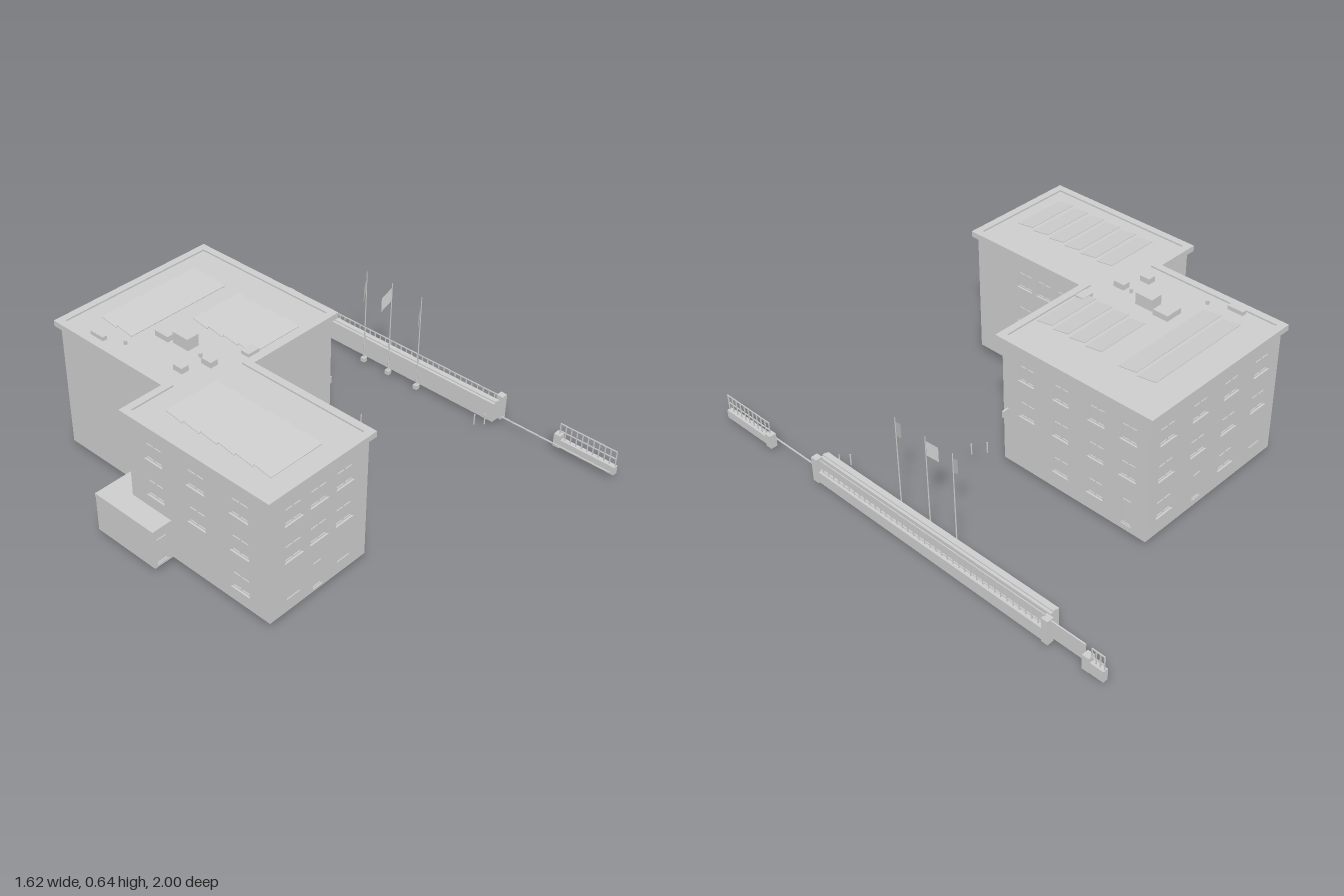
import * as THREE from 'three';

const stone = new THREE.MeshStandardMaterial({ color: 0xcccccc, side: THREE.DoubleSide });
stone.name = 'light grey';

function add(parent, name, geometry, x = 0, y = 0, z = 0) {
  const mesh = new THREE.Mesh(geometry, stone);
  mesh.name = name;
  mesh.position.set(x, y, z);
  parent.add(mesh);
  return mesh;
}

// Box given by its minimum and maximum on each axis
function block(parent, name, x0, x1, y0, y1, z0, z1) {
  return add(parent, name, new THREE.BoxGeometry(x1 - x0, y1 - y0, z1 - z0),
    (x0 + x1) / 2, (y0 + y1) / 2, (z0 + z1) / 2);
}

function group(parent, name) {
  const g = new THREE.Group();
  g.name = name;
  parent.add(g);
  return g;
}

// Footprint of the building, grown outwards by d
const outline = (d) => [
  [-0.725 - d, 0.6 + d], [-0.235 + d, 0.6 + d], [-0.235 + d, 0.015 + d], [0.22 + d, 0.015 + d],
  [0.22 + d, -0.69 - d], [-0.525 - d, -0.69 - d], [-0.525 - d, -0.09 - d], [-0.725 - d, -0.09 - d],
].map(([x, z]) => new THREE.Vector2(x, z));

// Flat slab from a plan shape, its top at the given height
function slab(parent, name, shape, top, thickness) {
  const g = new THREE.ExtrudeGeometry(shape, { depth: thickness, bevelEnabled: false });
  g.rotateX(Math.PI / 2);
  return add(parent, name, g, 0, top, 0);
}

// Recessed pane with mullions and an optional sill, in wall coordinates
function fillOpening(wall, { x, y, w, h, columns = 2, transom = 0.7, sill = true, name = 'window' }) {
  const g = group(wall, name);
  const bar = 0.005;
  block(g, 'pane', x, x + w, y, y + h, -0.011, -0.008);
  for (let i = 0; i <= columns; i++) {
    const cx = x + bar / 2 + (w - bar) * i / columns;
    block(g, 'mullion', cx - bar / 2, cx + bar / 2, y, y + h, -0.008, -0.004);
  }
  for (const f of [0, transom, 1]) {
    const cy = y + bar / 2 + (h - bar) * f;
    block(g, 'rail', x, x + w, cy - bar / 2, cy + bar / 2, -0.008, -0.004);
  }
  if (sill) block(g, 'sill', x - 0.003, x + w + 0.003, y - 0.005, y, -0.004, 0.004);
}

// Wall running from a to b with its outside on the right-hand side of the path
function makeWall(parent, name, a, b, y0, y1, openings) {
  const wall = group(parent, name);
  wall.position.set(a.x, 0, a.y);
  wall.rotation.y = Math.atan2(-(b.y - a.y), b.x - a.x);
  const length = a.distanceTo(b);
  const shape = new THREE.Shape([[0, y0], [length, y0], [length, y1], [0, y1]].map((p) => new THREE.Vector2(...p)));
  for (const { x, y, w, h } of openings) {
    shape.holes.push(new THREE.Path([[x, y], [x, y + h], [x + w, y + h], [x + w, y]].map((p) => new THREE.Vector2(...p))));
  }
  const g = new THREE.ExtrudeGeometry(shape, { depth: 0.012, bevelEnabled: false });
  add(wall, 'masonry', g, 0, 0, -0.012);
  openings.forEach((o) => fillOpening(wall, o));
}

// Grid of equal windows centred on the given distances along a wall
const windows = (centres, sills, w = 0.085) =>
  sills.flatMap((y) => centres.map((c) => ({ x: c - w / 2, y, w, h: 0.09 })));
const door = (x, w = 0.05) => ({ x, y: 0.055, w, h: 0.145, columns: 1, transom: 0.78, sill: false, name: 'door' });

function buildBuilding(model) {
  const b = group(model, 'building');
  const p = outline(0);
  const upper = [0.44, 0.275], all = [0.44, 0.275, 0.105];
  const grille = (x) => ({ x, y: 0.1, w: 0.065, h: 0.008, columns: 1, sill: false, name: 'vent' });
  const openings = [
    [...windows([0.118, 0.243, 0.372], upper), door(0.215), grille(0.085), grille(0.34)],
    [...windows([0.26, 0.365, 0.47], upper, 0.075), ...windows([0.26, 0.47], [0.105], 0.075), door(0.345)],
    [{ x: 0.04, y: 0.06, w: 0.37, h: 0.14, columns: 4, transom: 0.75, sill: false, name: 'shopfront' }],
    [...windows([0.12, 0.29, 0.46, 0.61], upper, 0.075), ...windows([0.29, 0.46], [0.105], 0.075), door(0.585)],
    [...windows([0.1, 0.28, 0.46, 0.64], upper), ...windows([0.1, 0.46], [0.105]), door(0.265), grille(0.61)],
    [],
    [],
    [...windows([0.13, 0.34, 0.55], upper), ...windows([0.55], [0.105])],
  ];
  const names = ['wingFrontWall', 'wingInnerWall', 'entranceWall', 'sideWall', 'backWall', 'blankWall', 'stepWall', 'wingOuterWall'];
  names.forEach((name, i) => {
    const base = i > 1 && i < 6 ? 0.03 : 0.045;
    makeWall(b, name, p[i], p[(i + 1) % p.length], base, 0.59, openings[i]);
  });

  // Roof deck inside a projecting cornice, and the entrance hall ceiling
  slab(b, 'roofDeck', new THREE.Shape(outline(-0.005)), 0.598, 0.014);
  const rim = new THREE.Shape(outline(0.018));
  rim.holes.push(new THREE.Path(outline(-0.013).reverse()));
  slab(b, 'cornice', rim, 0.605, 0.025);
  block(b, 'hallCeiling', -0.22, 0.2, 0.2, 0.21, -0.4, 0.005);
  block(b, 'entranceStep', -0.195, 0.175, 0.05, 0.058, 0.015, 0.03);
  block(b, 'wallSign', 0.22, 0.25, 0.25, 0.28, -0.012, -0.004);

  // Open-backed side porch
  const porch = group(b, 'porch');
  const roof = [[-0.815, -0.195], [-0.525, -0.195], [-0.525, -0.09], [-0.725, -0.09], [-0.725, 0.115], [-0.815, 0.115]];
  slab(porch, 'porchRoof', new THREE.Shape(roof.map((q) => new THREE.Vector2(...q))), 0.22, 0.015);
  block(porch, 'porchSideWall', -0.813, -0.805, 0.045, 0.206, -0.195, 0.11);
  makeWall(porch, 'porchFront', new THREE.Vector2(-0.813, 0.113), new THREE.Vector2(-0.725, 0.113), 0.045, 0.206,
    [{ ...door(0.014, 0.055), h: 0.14 }]);
}

function buildRoofEquipment(model) {
  const g = group(model, 'roofEquipment');
  // Tilted panels, raised at the back edge
  const panelRow = (x0, x1, z0, z1, count) => {
    const pitch = (z1 - z0) / count;
    for (let i = 0; i < count; i++) {
      const panel = add(g, 'solarPanel', new THREE.BoxGeometry(x1 - x0, 0.003, pitch - 0.004),
        (x0 + x1) / 2, 0.608, z0 + pitch * (i + 0.5));
      panel.rotation.x = Math.asin(0.013 / pitch);
    }
  };
  panelRow(-0.41, 0.075, -0.59, -0.415, 2);
  panelRow(-0.18, 0.065, -0.33, -0.01, 4);
  panelRow(-0.64, -0.395, 0.02, 0.53, 6);
  for (const [x, z, w, d, top] of [
    [-0.3, -0.33, 0.08, 0.07, 0.622], [-0.3, -0.24, 0.055, 0.08, 0.648], [-0.425, -0.132, 0.035, 0.045, 0.622],
    [-0.328, -0.085, 0.035, 0.05, 0.622], [-0.175, -0.03, 0.055, 0.04, 0.612], [-0.49, -0.51, 0.02, 0.07, 0.615],
    [-0.455, -0.4, 0.01, 0.01, 0.615], [-0.32, -0.14, 0.01, 0.01, 0.615]]) {
    block(g, 'ventUnit', x - w / 2, x + w / 2, 0.597, top, z - d / 2, z + d / 2);
  }
}

// Railing along z with evenly spaced uprights
function railing(parent, x, z0, z1, y0, y1, count, rails) {
  const g = group(parent, 'railing');
  for (let i = 0; i <= count; i++) {
    const z = z0 + (z1 - z0) * i / count;
    block(g, 'upright', x - 0.002, x + 0.002, y0, y1, z - 0.002, z + 0.002);
  }
  rails.forEach((y) => block(g, 'rail', x - 0.002, x + 0.002, y - 0.002, y + 0.002, z0, z1));
}

function buildBoundary(model) {
  const g = group(model, 'boundary');
  // Long wall whose base follows the sloping ground
  const side = new THREE.Shape([[-0.45, 0.02], [0.74, 0.005], [0.74, 0.06], [-0.45, 0.07]].map((q) => new THREE.Vector2(...q)));
  const wall = new THREE.ExtrudeGeometry(side, { depth: 0.022, bevelEnabled: false });
  wall.rotateY(Math.PI / 2);
  add(g, 'longWall', wall, 0.778, 0, 0);
  block(g, 'planter', 0.73, 0.77, 0.025, 0.115, -0.74, 0.45);
  block(g, 'planterRidge', 0.742, 0.758, 0.115, 0.12, -0.74, 0.45);
  railing(g, 0.789, -0.73, 0.44, 0.06, 0.12, 40, [0.075, 0.12]);

  // Short end walls, gate and pillars
  block(g, 'frontEndWall', 0.778, 0.8, 0.028, 0.065, 0.73, 1);
  railing(g, 0.789, 0.735, 0.995, 0.06, 0.137, 10, [0.1, 0.135]);
  block(g, 'backEndWall', 0.778, 0.8, 0.005, 0.055, -1, -0.91);
  railing(g, 0.789, -0.995, -0.94, 0.05, 0.115, 3, [0.075, 0.113]);
  block(g, 'gate', 0.784, 0.79, 0.035, 0.11, -0.91, -0.755);
  block(g, 'gateTrack', 0.762, 0.767, 0.042, 0.047, 0.47, 0.99);
  for (const [z, y0, y1] of [[-0.925, 0.01, 0.075], [-0.742, 0.005, 0.115], [0.445, 0.018, 0.13], [0.732, 0.025, 0.085]]) {
    block(g, 'pillar', 0.775, 0.805, y0, y1, z - 0.015, z + 0.015);
  }

  // Bollards beside the paths
  for (const [x, z, y] of [[0.27, 0.06, 0.055], [0.318, 0.098, 0.055], [0.66, 0.41, 0.033], [0.69, 0.44, 0.033]]) {
    add(g, 'bollard', new THREE.CylinderGeometry(0.003, 0.003, 0.05, 8), x, y + 0.025, z);
  }
}

function buildFlags(model) {
  for (const [z, swing] of [[-0.222, 0.02], [-0.085, -0.02], [0.07, 0.02]]) {
    const g = group(model, 'flagpole');
    g.position.set(0.705, 0, z);
    add(g, 'pole', new THREE.CylinderGeometry(0.002, 0.003, 0.44, 8), 0, 0.25, 0);
    block(g, 'poleBase', -0.01, 0.01, 0.018, 0.038, -0.01, 0.01);
    // Cloth droops and swings away from the pole
    const cloth = new THREE.PlaneGeometry(0.04, 0.065, 4, 1);
    const pos = cloth.attributes.position;
    for (let i = 0; i < pos.count; i++) {
      const t = 0.5 - pos.getX(i) / 0.04;
      pos.setXYZ(i, -0.04 * t, pos.getY(i) + 0.42 - 0.045 * t, swing * t);
    }
    cloth.computeVertexNormals();
    add(g, 'flag', cloth);
  }
}

export function createModel() {
  const model = new THREE.Group();
  model.name = 'officeBuilding';
  buildBuilding(model);
  buildRoofEquipment(model);
  buildBoundary(model);
  buildFlags(model);
  return model;
}
